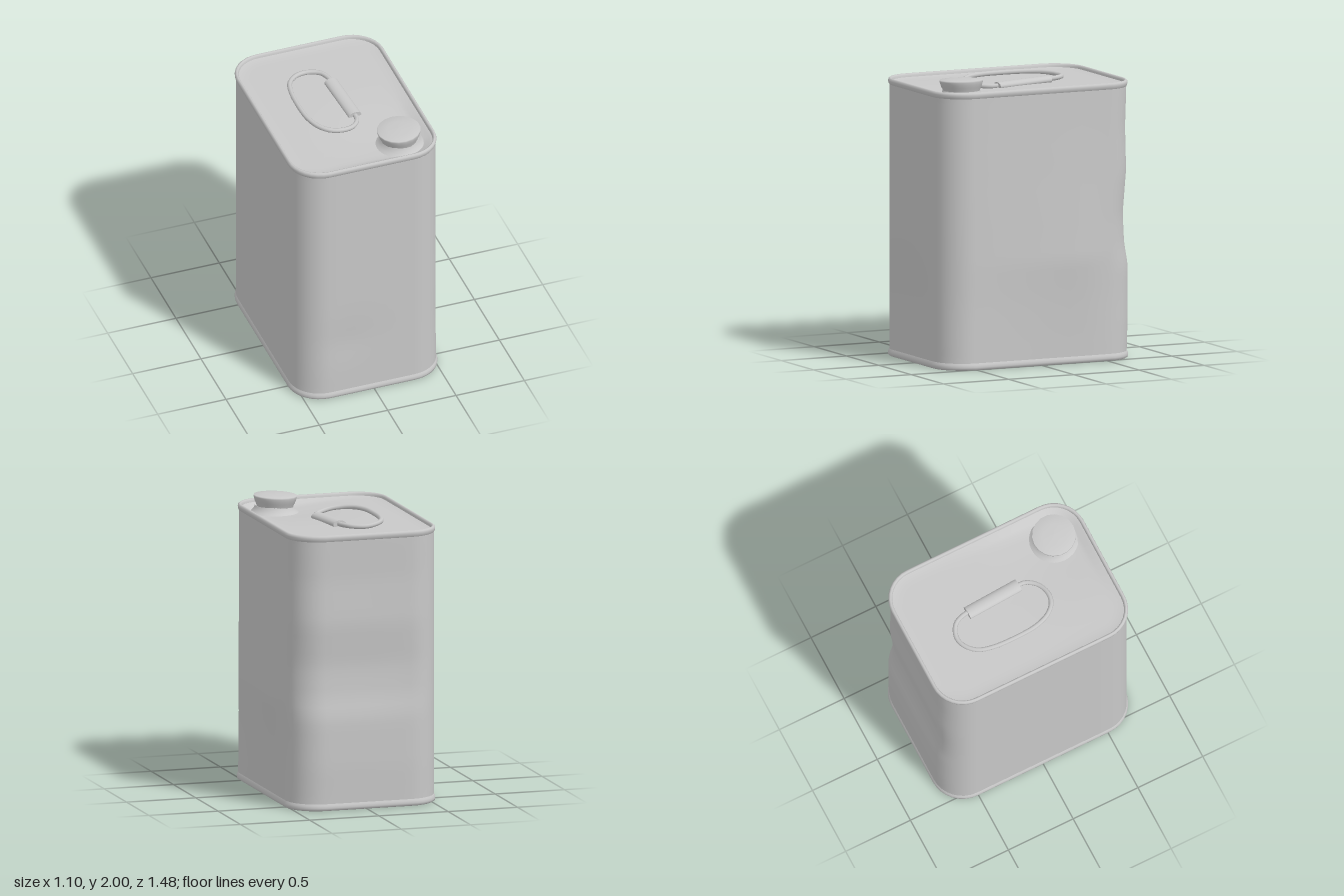
import * as THREE from 'three';

const HX = 0.528, HZ = 0.731, R = 0.22, CX = -0.016, CZ = 0.002;
const SPOUT = [0.267, 0.498];
const smooth = THREE.MathUtils.smoothstep;

// Piecewise-linear lookup in [position, value] pairs
function ramp(pairs, t) {
  if (t <= pairs[0][0]) return pairs[0][1];
  for (let i = 1; i < pairs.length; i++) {
    const [a, va] = pairs[i - 1], [b, vb] = pairs[i];
    if (t <= b) return va + (vb - va) * (t - a) / (b - a);
  }
  return pairs[pairs.length - 1][1];
}

// Rounded rectangle, shrunk by an inset and then scaled
function outline(inset, scale) {
  const points = [];
  const r = R - inset, arc = 8, flat = 10;
  const corners = [[1, 1, 0], [-1, 1, 1], [-1, -1, 2], [1, -1, 3]];
  corners.forEach(([sx, sz, q], k) => {
    for (let i = 0; i <= arc; i++) {
      const a = (q + i / arc) * Math.PI / 2;
      points.push([sx * (HX - R) + r * Math.cos(a), sz * (HZ - R) + r * Math.sin(a)]);
    }
    const [nx, nz, nq] = corners[(k + 1) % 4];
    const [x0, z0] = points[points.length - 1];
    const a = nq * Math.PI / 2;
    const x1 = nx * (HX - R) + r * Math.cos(a), z1 = nz * (HZ - R) + r * Math.sin(a);
    for (let i = 1; i < flat; i++) points.push([x0 + (x1 - x0) * i / flat, z0 + (z1 - z0) * i / flat]);
  });
  return points.map(([x, z]) => [x * scale + CX, z * scale + CZ]);
}

// Knocks and bulges of the worn sides
const sideBulge = [[0.05, 0], [0.2, 0.006], [0.5, 0.024], [0.72, 0.039], [0.9, 0.031], [1.3, 0.015], [1.6, 0.006], [1.88, 0]];
const sideSpread = [[-0.6, 0], [-0.5, 0.2], [-0.36, 1], [-0.2, 0.95], [0.5, 0.15], [0.7, 0]];
const backDent = [[0.05, 0], [0.3, -0.01], [0.64, -0.01], [0.8, 0.018], [1.0, 0.028], [1.3, 0.002], [1.6, 0.01], [1.88, 0]];
const backSpread = [[-0.52, 0], [-0.42, 0.3], [-0.3, 0.8], [0, 1]];
function dentSides(x, y, z) {
  const right = smooth(x, 0.1, 0.45), back = smooth(-z, 0.4, 0.68), front = smooth(z, 0.5, 0.7);
  const dx = right * (ramp(sideBulge, y) * ramp(sideSpread, z) + 0.006 * (1 - smooth(y, 0, 0.5)));
  const dz = back * ramp(backDent, y) * ramp(backSpread, x)
    - front * 0.008 * Math.exp(-(((y - 0.45) / 0.15) ** 2) - (((x + 0.2) / 0.2) ** 2));
  return [x + dx, y, z + dz];
}

// The lid sags towards the spout
function sagLid(x, y, z, inset) {
  const d = Math.hypot(x - SPOUT[0], z - SPOUT[1]);
  return [x, y - 0.036 * smooth(inset, 0.02, 0.1) * Math.exp(-((d / 0.38) ** 2)), z];
}

// Skin over rows of [inset, height, scale]
function loft(rows, shape = dentSides) {
  const pos = [], index = [];
  let n = 0;
  for (const [inset, y, scale = 1] of rows) {
    const ring = outline(inset, scale);
    n = ring.length;
    for (const [x, z] of ring) pos.push(...shape(x, y, z, inset));
  }
  for (let j = 0; j < rows.length - 1; j++) {
    for (let i = 0; i < n; i++) {
      const a = j * n + i, b = j * n + (i + 1) % n;
      index.push(a, a + n, b, b, a + n, b + n);
    }
  }
  const g = new THREE.BufferGeometry();
  g.setAttribute('position', new THREE.Float32BufferAttribute(pos, 3));
  g.setIndex(index);
  g.computeVertexNormals();
  return g;
}

export function createModel() {
  const group = new THREE.Group();
  const tin = new THREE.MeshStandardMaterial({ color: 0xc8c8c8 });
  tin.name = 'grey tin';
  const add = (name, geometry) => {
    const mesh = new THREE.Mesh(geometry, tin);
    mesh.name = name;
    group.add(mesh);
    return mesh;
  };

  // Can body
  const wallRows = [];
  for (let i = 0; i <= 30; i++) wallRows.push([0, 0.04 + 1.86 * i / 30]);
  add('wall', loft(wallRows));
  add('bottomPlate', loft([[0.15, 0.032, 0], [0.02, 0.032]]));

  // Sunken lid
  const lidRows = [[0.019, 1.902], [0.04, 1.898], [0.07, 1.896], [0.1, 1.895], [0.15, 1.895]];
  for (let i = 7; i >= 0; i--) lidRows.push([0.15, 1.895, i / 8]);
  add('lid', loft(lidRows, sagLid));

  // Rolled seams around both ends
  add('bottomRim', loft([[0.02, 0.032], [0.018, 0.008], [0.012, 0.001], [0.003, 0], [-0.007, 0.006], [-0.01, 0.02], [-0.007, 0.036], [0.002, 0.052]]));
  add('topRim', loft([[0.002, 1.88], [-0.006, 1.892], [-0.009, 1.908], [-0.006, 1.92], [0.003, 1.927], [0.012, 1.924], [0.017, 1.914], [0.019, 1.902]]));

  // Screw cap on its flared collar, slightly tilted
  const lathe = (profile, segments) =>
    new THREE.LatheGeometry(profile.map(p => new THREE.Vector2(...p)), segments);
  const collar = add('spoutCollar', lathe([[0.2, -0.012], [0.175, 0.002], [0.155, 0.018], [0.138, 0.036], [0.13, 0.056]], 28));
  collar.position.set(SPOUT[0] + 0.008, 1.86, SPOUT[1] + 0.004);
  const cap = add('screwCap', lathe([[0.126, -0.02], [0.132, 0], [0.14, 0.014], [0.146, 0.034], [0.151, 0.05], [0.15, 0.061], [0.08, 0.068], [0, 0.07]], 18));
  cap.position.set(SPOUT[0], 1.925, SPOUT[1]);
  cap.rotation.z = 0.04;

  // Wire carrying loop, resting at a slant
  const loop = [[0.055, -0.26], [0.05, -0.31], [0.02, -0.38], [-0.03, -0.415], [-0.09, -0.428], [-0.16, -0.405], [-0.225, -0.34],
    [-0.257, -0.23], [-0.263, 0], [-0.252, 0.1], [-0.215, 0.2], [-0.15, 0.265], [-0.07, 0.282], [0.02, 0.25], [0.075, 0.18], [0.08, 0.11]];
  const wireHeight = (x, z) => 1.907 - 0.085 * x - 0.04 * z * smooth(x, -0.1, 0.08);
  const path = new THREE.CatmullRomCurve3(loop.map(([x, z]) => new THREE.Vector3(x, wireHeight(x, z), z)));
  add('handleWire', new THREE.TubeGeometry(path, 48, 0.017, 8));

  // Grip sleeve, pressed flat and half sunk into the lid
  const sleeve = new THREE.CylinderGeometry(0.048, 0.048, 0.41, 16);
  sleeve.rotateX(Math.PI / 2).scale(1, 0.6, 1).rotateX(0.04).rotateY(0.07);
  add('handleGrip', sleeve).position.set(0.065, 1.9, -0.075);

  return group;
}
